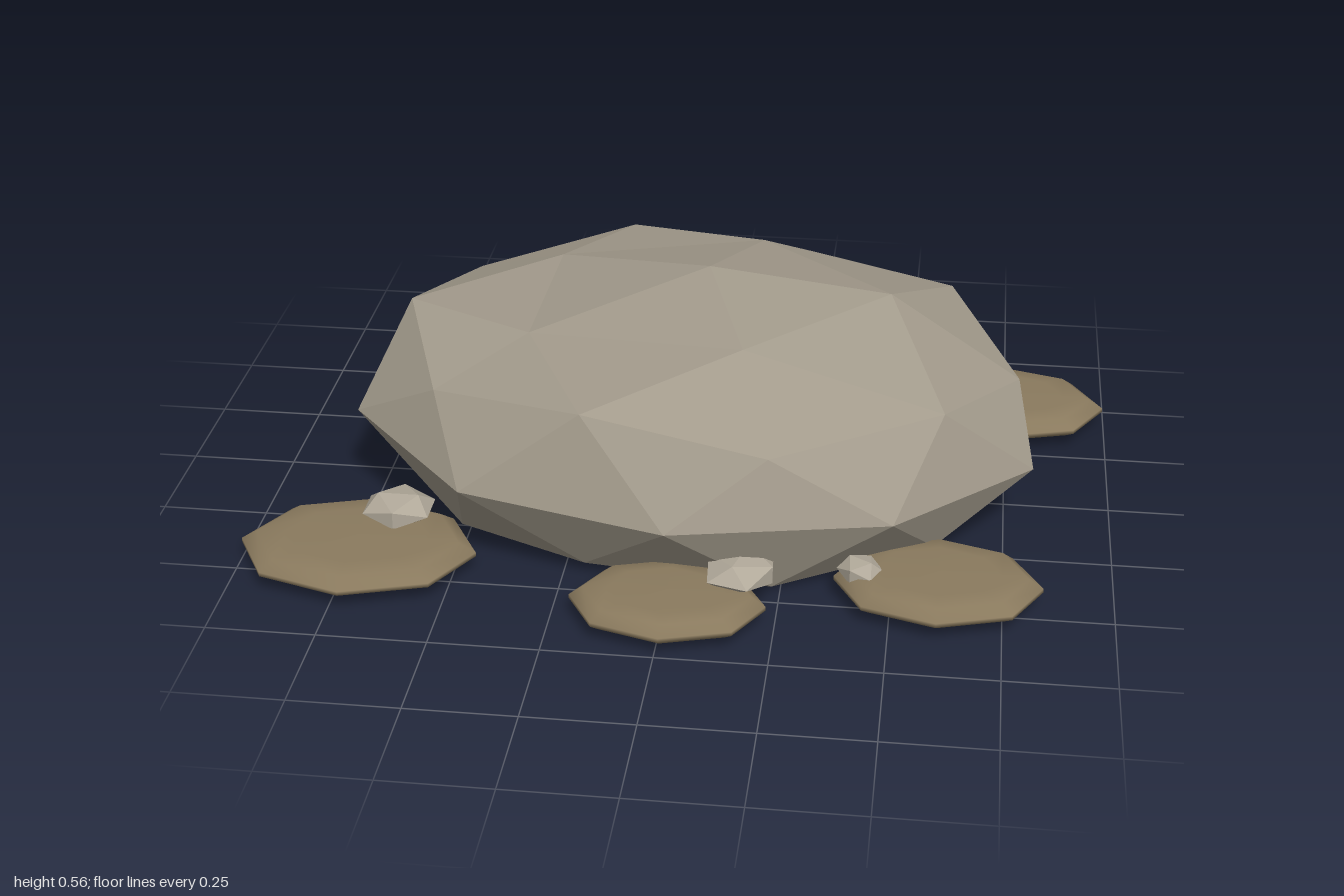
import * as THREE from 'three';

const mat = (color, flatShading) => new THREE.MeshStandardMaterial({ color, flatShading, roughness: 1 });

// Faceted boulder: rings of points from crown to underside, each running counter-clockwise seen from above
function boulderGeometry() {
  const crown = [0.03, 0.555, -0.08];
  const A = [[0.46, 0.52, -0.05], [0.13, 0.485, -0.4], [-0.36, 0.465, -0.3], [-0.37, 0.46, 0.13], [0.14, 0.5, 0.24]];
  const B = [[0.77, 0.31, -0.06], [0.6, 0.39, -0.39], [0.24, 0.36, -0.62], [-0.22, 0.43, -0.58], [-0.59, 0.37, -0.41],
    [-0.69, 0.44, -0.06], [-0.57, 0.37, 0.27], [-0.2, 0.43, 0.46], [0.22, 0.35, 0.47], [0.6, 0.38, 0.27]];
  const E = [[0.78, 0.17, -0.26], [0.49, 0.19, -0.58], [0.03, 0.2, -0.73], [-0.48, 0.22, -0.57], [-0.78, 0.23, -0.27],
    [-0.79, 0.23, 0.13], [-0.48, 0.22, 0.47], [0, 0.2, 0.57], [0.5, 0.2, 0.47], [0.81, 0.18, 0.14]];
  // lower ring: even entries are the grounded points, odd entries the slightly raised ones
  const D = [[0.73, 0, -0.05], [0.6, 0.04, -0.4], [0.23, 0, -0.6], [-0.23, 0.03, -0.6], [-0.54, 0.01, -0.4],
    [-0.7, 0.04, -0.07], [-0.52, 0.01, 0.26], [-0.2, 0.03, 0.43], [0.23, 0.01, 0.45], [0.59, 0.04, 0.28]];
  const N = A.map((_, i) => D[2 * i + 1].map((v, k) => (k === 1 ? 0.02 : v * 0.58)));
  const base = [0, 0.02, -0.05];

  const pos = [];
  const tri = (...pts) => pts.forEach((p) => pos.push(...p));
  for (let i = 0; i < 5; i++) {
    const j = (i + 1) % 5, k = (i + 4) % 5;
    const b0 = B[2 * i], b1 = B[2 * i + 1], b2 = B[2 * j];
    const ePrev = E[2 * k + 1], e0 = E[2 * i], e1 = E[2 * i + 1];
    const dPrev = D[2 * k + 1], d0 = D[2 * i], d1 = D[2 * i + 1];
    // cap
    tri(crown, A[i], A[j]);
    tri(A[i], b0, b1);
    tri(A[i], b1, A[j]);
    tri(A[j], b1, b2);
    // shoulder
    tri(b0, ePrev, e0);
    tri(b0, e0, b1);
    tri(b1, e0, e1);
    tri(b1, e1, b2);
    // undercut
    tri(e0, d1, e1);
    tri(ePrev, d0, e0);
    tri(ePrev, dPrev, d0);
    tri(e0, d0, d1);
    // underside
    tri(d0, N[k], N[i]);
    tri(d0, N[i], d1);
    tri(d1, N[i], D[2 * j]);
    tri(N[i], base, N[j]);
  }
  const g = new THREE.BufferGeometry();
  g.setAttribute('position', new THREE.Float32BufferAttribute(pos, 3));
  g.computeVertexNormals();
  return g;
}

// Thin eight-sided soil disc with a rounded upper rim
function discGeometry() {
  const profile = [[0, 0], [0.9, 0], [1, 0.012], [1, 0.022], [0.86, 0.045], [0.6, 0.05], [0, 0.052]];
  return new THREE.LatheGeometry(profile.map(([r, y]) => new THREE.Vector2(r, y)), 8);
}

export function createModel() {
  const group = new THREE.Group();
  const stone = mat(0xa29a8b, true);
  const pebbleStone = mat(0xb0a899, true);
  const soil = mat(0x8a7a5e, false);

  const boulder = new THREE.Mesh(boulderGeometry(), stone);
  boulder.name = 'boulder';
  group.add(boulder);

  // soil patches: x, z, half width, half depth
  const disc = discGeometry();
  [[-0.725, 0.443, 0.275, 0.202], [0.01, 0.592, 0.22, 0.155], [0.605, 0.445, 0.235, 0.172],
    [0.74, -0.433, 0.255, 0.178], [-0.425, -0.62, 0.205, 0.135]].forEach(([x, z, w, d], i) => {
    const patch = new THREE.Mesh(disc, soil);
    patch.name = `soilPatch${i + 1}`;
    patch.position.set(x, 0.025, z);
    patch.scale.set(w, 1, d);
    group.add(patch);
  });

  // pebbles around the foot: x, y, z, radius, height ratio
  const pebbleShape = new THREE.IcosahedronGeometry(1, 0);
  [[-0.65, 0.095, 0.34, 0.09, 0.45], [0.165, 0.085, 0.5, 0.1, 0.4], [0.43, 0.07, 0.45, 0.055, 0.6],
    [0.67, 0.1, -0.4, 0.09, 0.55], [0.74, 0.06, -0.1, 0.05, 0.6], [0.08, 0.07, -0.62, 0.05, 0.6],
    [-0.33, 0.08, -0.56, 0.08, 0.5], [-0.7, 0.08, -0.07, 0.06, 0.6]].forEach(([x, y, z, r, h], i) => {
    const pebble = new THREE.Mesh(pebbleShape, pebbleStone);
    pebble.name = `pebble${i + 1}`;
    pebble.position.set(x, y, z);
    pebble.rotation.y = i * 1.3;
    pebble.scale.set(r, r * h, r * 0.9);
    group.add(pebble);
  });

  return group;
}
